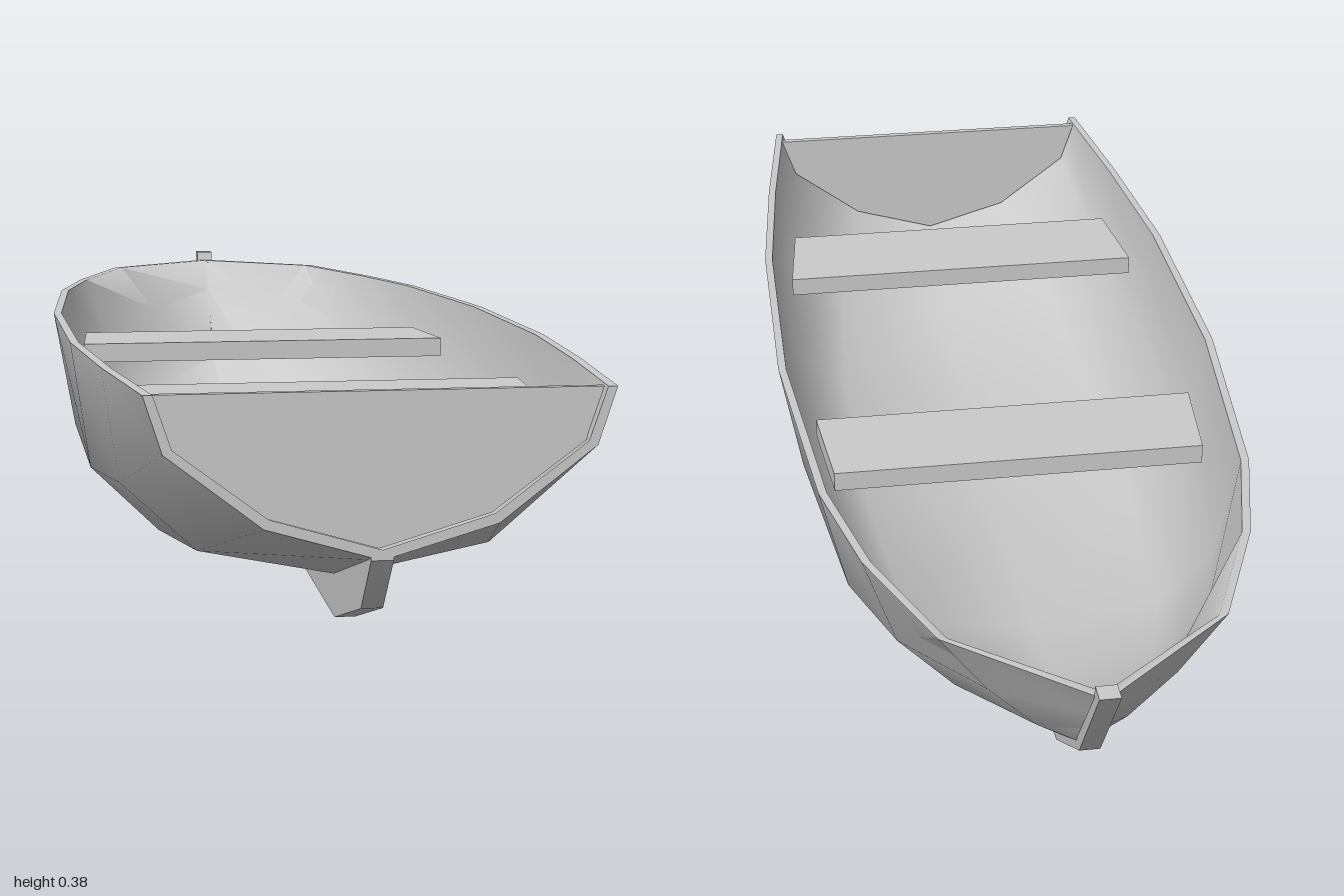
import * as THREE from 'three';
import { toCreasedNormals } from 'three/addons/utils/BufferGeometryUtils.js';

const material = new THREE.MeshStandardMaterial({ color: 0xcccccc, side: THREE.DoubleSide });

// Half sections from stern to bow; each point is [x, y, z]: keel, bilge, chine, gunwale
const section = (z, keelY, bilge, chine, gunwale) =>
  [[0, keelY], bilge, chine, gunwale].map(([x, y]) => [x, y, z]);
const sections = [
  section(1, 0.14, [0.155, 0.185], [0.285, 0.285], [0.31, 0.362]),
  section(0.72, 0.058, [0.21, 0.1], [0.318, 0.2], [0.342, 0.362]),
  section(0.42, 0.047, [0.235, 0.07], [0.338, 0.17], [0.367, 0.362]),
  section(0, 0.05, [0.235, 0.073], [0.336, 0.172], [0.37, 0.362]),
  section(-0.4, 0.058, [0.205, 0.1], [0.295, 0.19], [0.335, 0.362]),
  section(-0.6, 0.08, [0.155, 0.13], [0.24, 0.22], [0.288, 0.363]),
  section(-0.81, 0.165, [0.065, 0.205], [0.135, 0.275], [0.204, 0.368]),
  [[0, 0.2, -0.86], [0, 0.25, -0.89], [0, 0.305, -0.93], [0, 0.368, -0.98]],
];

// Inner skin offsets for keel, bilge, chine, gunwale
const wall = [[0, 0.014], [0.006, 0.013], [0.012, 0.006], [0.013, 0]];
const innerOf = (half, atBow) => half.map(([x, y, z], i) =>
  [Math.max(0, x - wall[i][0]), y + wall[i][1], z + (atBow ? 0.018 : 0)]);

// Gunwale to keel to the opposite gunwale
const fullSection = (half) =>
  [...half.slice(1).reverse(), ...half.map(([x, y, z]) => [-x, y, z])];

function hullGeometry() {
  const positions = [], index = [], n = 14;
  sections.forEach((half, i) => {
    const outer = fullSection(half);
    const inner = fullSection(innerOf(half, i === sections.length - 1)).reverse();
    positions.push(...[...outer, ...inner].flat());
  });
  for (let s = 0; s < sections.length - 1; s++) {
    for (let k = 0; k < n; k++) {
      const a = s * n + k, b = s * n + (k + 1) % n;
      index.push(a, b, b + n, a, b + n, a + n);
    }
  }
  // Stern edge joining both skins
  for (let k = 0; k < 6; k++) {
    index.push(k, 13 - k, 12 - k, k, 12 - k, k + 1);
  }
  const geometry = new THREE.BufferGeometry();
  geometry.setAttribute('position', new THREE.Float32BufferAttribute(positions, 3));
  geometry.setIndex(index);
  return toCreasedNormals(geometry, 1.0);
}

const outline = (points) => new THREE.Shape(points.map(([x, y]) => new THREE.Vector2(x, y)));
const extrude = (points, depth) =>
  new THREE.ExtrudeGeometry(outline(points), { depth, bevelEnabled: false });

export function createModel() {
  const group = new THREE.Group();
  const add = (name, geometry) => {
    const mesh = new THREE.Mesh(geometry, material);
    mesh.name = name;
    group.add(mesh);
    return mesh;
  };

  add('hull', hullGeometry());

  // Stern board set just inside the hull end
  const board = fullSection(innerOf(sections[0], false)).map(([x, y]) => [x * 1.01, y - 0.003]);
  add('transom', extrude(board, 0.012)).position.z = 0.965;

  // Keel, skeg and stem in one strip, drawn in profile
  const keel = extrude([
    [1, 0.14], [0.93, 0.06], [0.73, 0.0], [0.3, 0.022], [-0.4, 0.035],
    [-0.69, 0.08], [-0.87, 0.2], [-1, 0.385],
    [-0.97, 0.385], [-0.965, 0.362], [-0.845, 0.2], [-0.68, 0.108],
    [-0.4, 0.065], [0.42, 0.053], [0.72, 0.065], [1, 0.147],
  ], 0.03);
  keel.rotateY(-Math.PI / 2).translate(0.015, 0, 0);
  add('keelAndStem', toCreasedNormals(keel, 0.6));

  // Seats with ends that follow the hull sides
  const seat = (name, backZ, backX, frontZ, frontX) => {
    const geometry = extrude(
      [[-backX, -backZ], [-frontX, -frontZ], [frontX, -frontZ], [backX, -backZ]], 0.032);
    geometry.rotateX(-Math.PI / 2).translate(0, 0.268, 0);
    add(name, geometry);
  };
  seat('forwardSeat', -0.245, 0.3, -0.07, 0.315);
  seat('aftSeat', 0.455, 0.318, 0.635, 0.3);

  return group;
}
